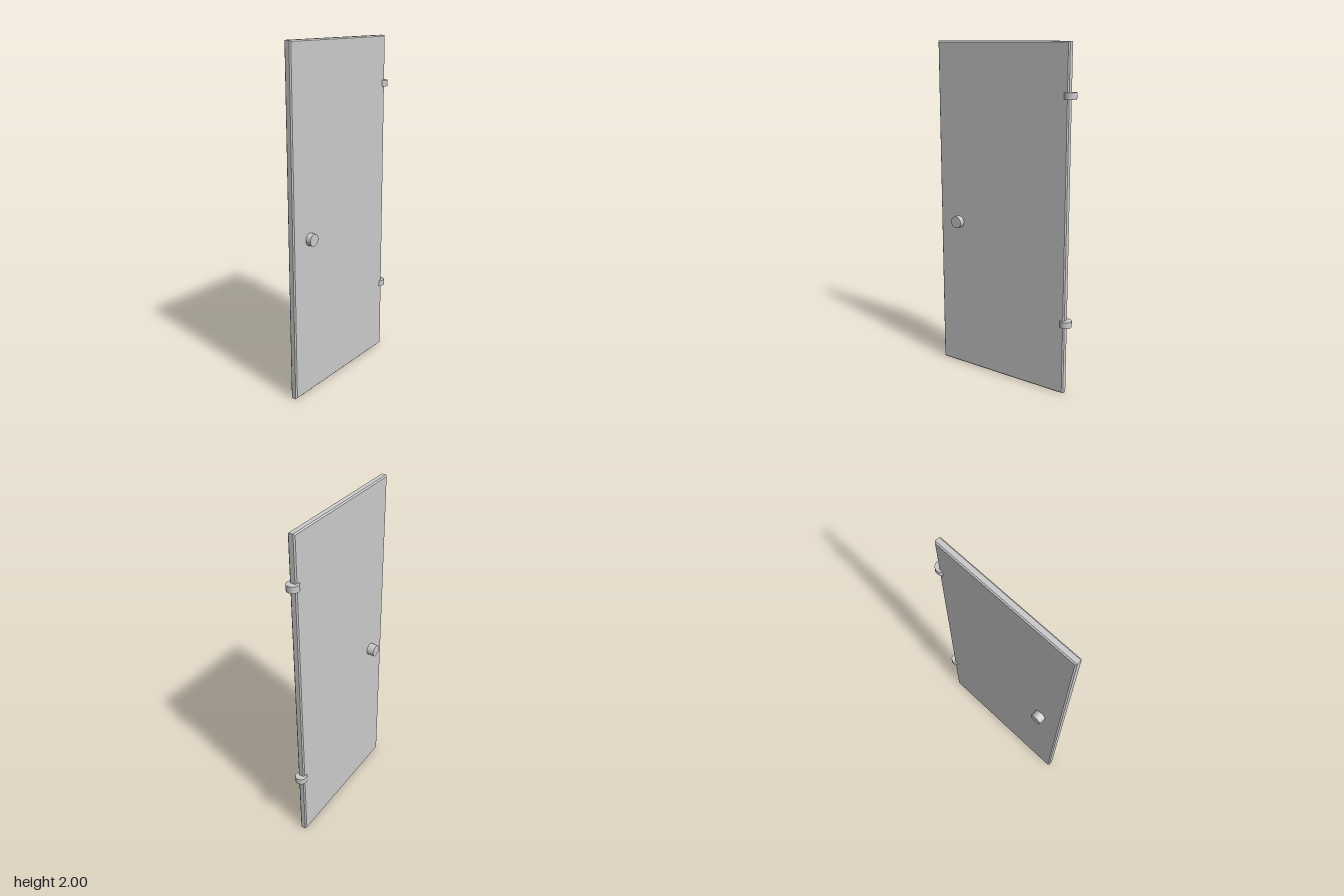
import * as THREE from 'three';

const WIDTH = 0.893, HEIGHT = 2, DEPTH = 0.041, BEVEL = 0.007;
const CENTRE_X = -0.0185;

export function createModel() {
  const door = new THREE.Group();
  door.name = 'door';
  const material = new THREE.MeshStandardMaterial({ color: 0xcccccc });

  const add = (name, geometry, x, y, z) => {
    const mesh = new THREE.Mesh(geometry, material);
    mesh.name = name;
    mesh.position.set(x, y, z);
    door.add(mesh);
    return mesh;
  };

  // Flat panel with chamfered edges all round
  const w = WIDTH / 2 - BEVEL, h = HEIGHT / 2 - BEVEL;
  const outline = new THREE.Shape([
    new THREE.Vector2(-w, -h), new THREE.Vector2(w, -h),
    new THREE.Vector2(w, h), new THREE.Vector2(-w, h),
  ]);
  const panel = new THREE.ExtrudeGeometry(outline, {
    depth: DEPTH - 2 * BEVEL,
    bevelEnabled: true, bevelSegments: 1, bevelSize: BEVEL, bevelThickness: BEVEL,
  });
  panel.translate(0, 0, BEVEL - DEPTH / 2);
  add('panel', panel, CENTRE_X, HEIGHT / 2, 0);

  // Round knob passing through the panel, showing on both faces
  const knob = new THREE.CylinderGeometry(0.036, 0.036, 0.118, 32).rotateX(Math.PI / 2);
  add('knob', knob, -0.325, 0.927, -0.006);

  // Two hinge barrels centred on the panel's edge
  const hinge = new THREE.CylinderGeometry(0.0355, 0.0355, 0.037, 32);
  add('lowerHinge', hinge, 0.428, 0.432, 0);
  add('upperHinge', hinge, 0.428, 1.718, 0);

  // The door stands very slightly ajar
  door.rotation.y = 0.0028;
  door.position.z = 0.004;

  const model = new THREE.Group();
  model.name = 'doorAssembly';
  model.add(door);
  return model;
}
